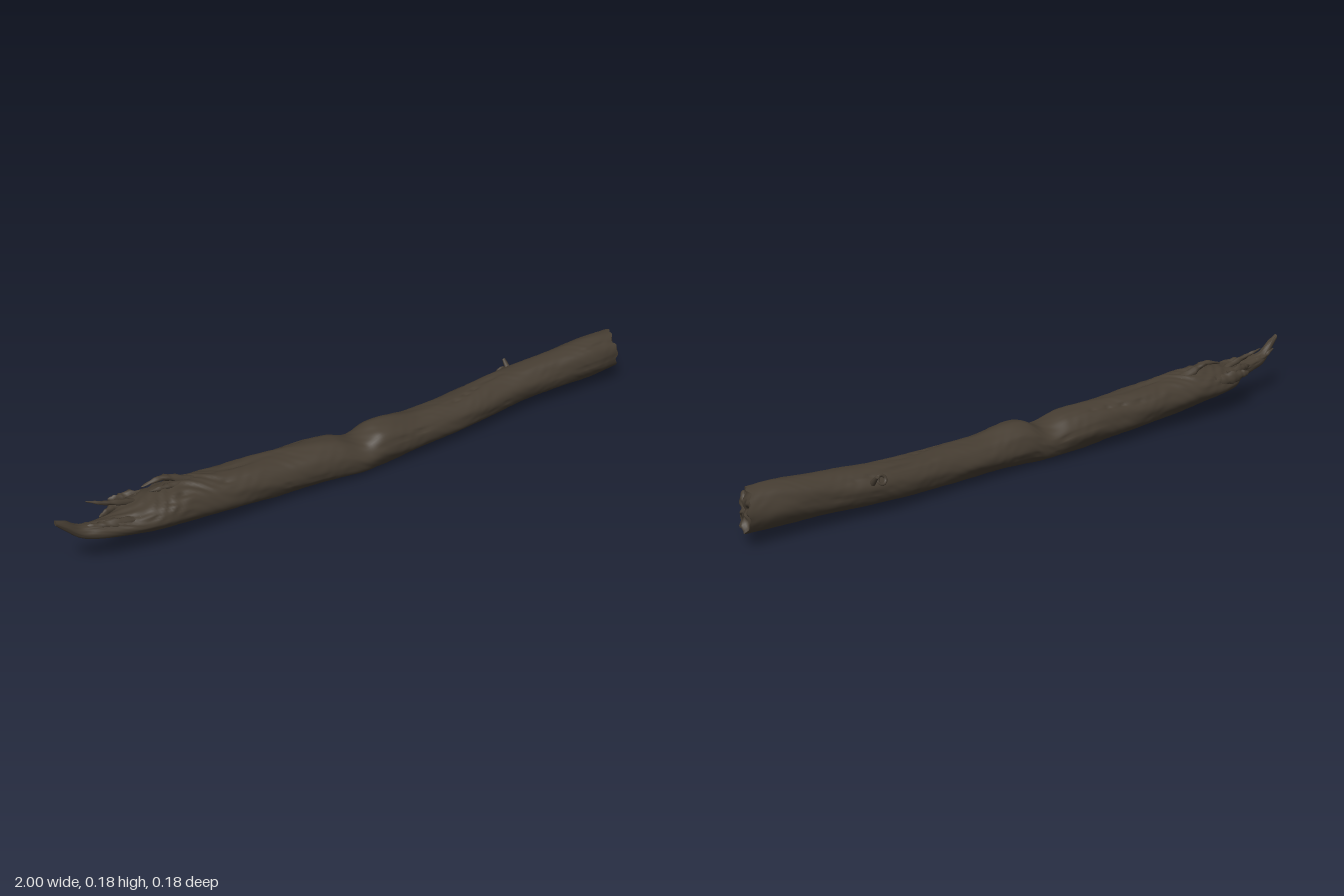
import * as THREE from 'three';

const SIDES = 56;

// Sections along the log: x, bottom, top, back z, front z
const SECTIONS = [
  [-1.0, 0.172, 0.188, -0.002, 0.012],
  [-0.97, 0.142, 0.174, -0.010, 0.014],
  [-0.93, 0.106, 0.146, -0.020, 0.018],
  [-0.88, 0.090, 0.137, -0.026, 0.034],
  [-0.81, 0.075, 0.135, -0.042, 0.046],
  [-0.76, 0.066, 0.142, -0.074, 0.058],
  [-0.70, 0.056, 0.153, -0.085, 0.066],
  [-0.62, 0.045, 0.160, -0.084, 0.067],
  [-0.50, 0.034, 0.154, -0.079, 0.066],
  [-0.30, 0.018, 0.144, -0.073, 0.066],
  [-0.10, 0.007, 0.134, -0.067, 0.076],
  [-0.02, 0.004, 0.114, -0.060, 0.081],
  [0.04, 0.006, 0.139, -0.055, 0.084],
  [0.20, 0.014, 0.126, -0.052, 0.081],
  [0.40, 0.018, 0.130, -0.057, 0.071],
  [0.58, 0.027, 0.142, -0.062, 0.060],
  [0.70, 0.034, 0.151, -0.050, 0.064],
  [0.88, 0.038, 0.165, -0.041, 0.077],
  [0.97, 0.041, 0.164, -0.037, 0.074],
];
const sectionAt = new THREE.CubicInterpolant(
  SECTIONS.map((s) => s[0]), SECTIONS.flatMap((s) => s.slice(1)), 4, new Float32Array(4));

// Skin a list of closed rings that run towards +x
function loft(rings) {
  const n = rings[0].length;
  const index = [];
  for (let i = 0; i < rings.length - 1; i++) {
    for (let j = 0; j < n; j++) {
      const k = (j + 1) % n, a = i * n, b = a + n;
      index.push(a + j, b + j, a + k, b + j, b + k, a + k);
    }
  }
  const geometry = new THREE.BufferGeometry().setFromPoints(rings.flat());
  geometry.setIndex(index);
  geometry.computeVertexNormals();
  return geometry;
}

// Lengthwise bark ridges and cracks, rougher at the torn end
function bark(x, a) {
  const torn = THREE.MathUtils.smoothstep(-x, 0.35, 0.7);
  const top = Math.max(0, Math.sin(a));
  const warp = a + 0.25 * Math.sin(5 * x + 1) + 0.08 * Math.sin(17 * x + 2 * a);
  const lumps = 0.022 * Math.sin(3 * a + 7 * x) * Math.sin(9 * x + a)
    + 0.014 * Math.sin(7 * warp + 13 * x) + 0.010 * Math.sin(31 * x + 2 * Math.sin(3 * a));
  const crack = Math.pow(1 - Math.abs(Math.sin(4 * warp + 0.6)), 8)
    * Math.max(0, Math.sin(8 * x + 5 * Math.floor(warp * 4 / Math.PI)));
  const rough = Math.sin(11 * warp + 6 * Math.sin(23 * x)) * Math.sin(47 * x + 3 * a);
  return 1 + lumps - crack * (0.05 + 0.12 * top) + rough * (0.008 + 0.07 * torn * top);
}

// Slanted, jagged broken end
function endOffset(y, z, a) {
  return -0.36 * (z - 0.018) - 0.15 * (y - 0.1) + 0.005 * Math.sin(5 * a) + 0.004 * Math.sin(11 * a + 1);
}

function trunkRing(x) {
  const [bottom, top, back, front] = sectionAt.evaluate(x);
  const slant = THREE.MathUtils.smoothstep(x, 0.8, 0.97);
  return Array.from({ length: SIDES }, (_, j) => {
    const a = (j / SIDES) * Math.PI * 2;
    const r = bark(x, a);
    const y = (bottom + top) / 2 + Math.sin(a) * r * (top - bottom) / 2;
    const z = (back + front) / 2 + Math.cos(a) * r * (front - back) / 2;
    return new THREE.Vector3(x + slant * endOffset(y, z, a), y, z);
  });
}

// Concentric rings closing a loft, with uneven broken wood
function capRings(ring, rough, steps = 8) {
  const centre = ring.reduce((c, p) => c.add(p), new THREE.Vector3()).divideScalar(ring.length);
  return Array.from({ length: steps + 1 }, (_, i) => ring.map((p, j) => {
    const t = i / steps, a = (j / ring.length) * Math.PI * 2;
    const q = p.clone().lerp(centre, t);
    q.x += rough * Math.sin(Math.PI * t) * (0.4 + Math.sin(3 * a + 5 * t) + 0.7 * Math.sin(7 * a - 4 * t));
    return q;
  }));
}

// Tapered sliver of wood: points run from tip to base towards +x
function splinterGeometry(points, height, depth) {
  const curve = new THREE.CatmullRomCurve3(points.map((p) => new THREE.Vector3(...p)));
  const rings = [];
  for (let i = 0; i <= 14; i++) {
    const t = i / 14, c = curve.getPoint(t);
    const s = (0.12 + 0.88 * Math.pow(t, 0.7)) * (1 + 0.15 * Math.sin(i * 2.3));
    rings.push(Array.from({ length: 10 }, (_, j) => {
      const a = (j / 10) * Math.PI * 2;
      const r = s * (1 + 0.15 * Math.sin(3 * a + i));
      return new THREE.Vector3(c.x, c.y + Math.sin(a) * height * r, c.z + Math.cos(a) * depth * r);
    }));
  }
  const tip = curve.getPoint(0);
  rings.unshift(rings[0].map(() => tip.clone()));
  return loft(rings);
}

export function createModel() {
  const group = new THREE.Group();
  const wood = new THREE.MeshStandardMaterial({ color: 0x463d32 });
  wood.name = 'dark brown wood';
  const add = (name, geometry) => {
    const mesh = new THREE.Mesh(geometry, wood);
    mesh.name = name;
    group.add(mesh);
    return mesh;
  };

  // Long curved trunk
  const rings = [];
  for (let i = 0; i <= 260; i++) rings.push(trunkRing(-1 + (1.97 * i) / 260));
  add('trunk', loft(rings));

  // Broken faces at both ends
  add('brokenEnd', loft(capRings(rings.at(-1), 0.006)));
  add('tornTip', loft(capRings(rings[0], 0).reverse()));

  // Torn slivers around the ragged end
  const splinters = [
    [[[-0.88, 0.178, -0.045], [-0.84, 0.164, -0.036], [-0.79, 0.150, -0.030], [-0.72, 0.130, -0.03]], 0.011, 0.010],
    [[[-0.85, 0.125, -0.030], [-0.80, 0.128, -0.045], [-0.72, 0.120, -0.05]], 0.020, 0.016],
    [[[-0.79, 0.130, -0.087], [-0.75, 0.125, -0.078], [-0.66, 0.110, -0.062]], 0.026, 0.016],
    [[[-0.71, 0.166, -0.038], [-0.65, 0.176, -0.034], [-0.60, 0.158, -0.030], [-0.50, 0.125, -0.02]], 0.014, 0.018],
    [[[-0.70, 0.162, -0.010], [-0.64, 0.158, -0.008], [-0.54, 0.138, -0.005]], 0.014, 0.014],
    [[[-0.93, 0.135, 0.000], [-0.86, 0.128, 0.018], [-0.76, 0.115, 0.03]], 0.018, 0.016],
    [[[-0.97, 0.152, -0.016], [-0.92, 0.128, -0.014], [-0.84, 0.110, -0.01]], 0.014, 0.012],
  ];
  for (const [points, height, depth] of splinters) add('splinter', splinterGeometry(points, height, depth));

  // Small snapped twig on the back
  const stub = add('twigStub', new THREE.CylinderGeometry(0.005, 0.011, 0.045, 8, 2));
  stub.position.set(0.61, 0.118, -0.06);
  stub.rotation.x = -0.75;

  // Knot on the back
  const knot = add('knot', new THREE.TorusGeometry(0.013, 0.005, 8, 16));
  knot.position.set(0.58, 0.112, -0.053);
  knot.rotation.x = 0.45;

  return group;
}
